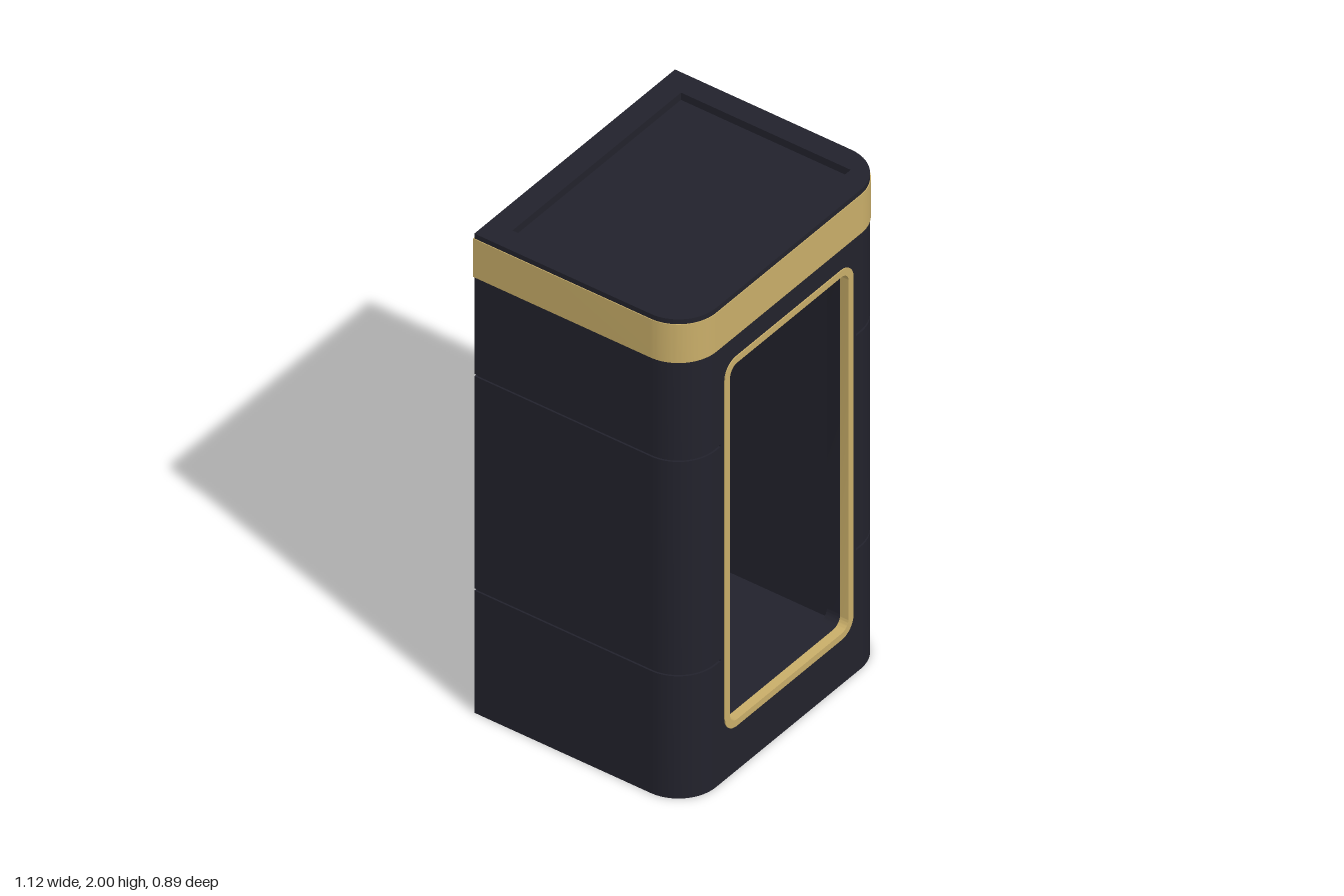
import * as THREE from 'three';
import { toCreasedNormals } from 'three/addons/utils/BufferGeometryUtils.js';

const W = 0.555, D = 0.441, R = 0.155;   // half width, half depth, front corner radius
const IW = 0.466, ID = 0.35;             // cavity half width, half depth
const PANEL = 0.375;                     // half width of the front panel

const dark = new THREE.MeshStandardMaterial({ color: 0x22222c });
dark.name = 'charcoal';
const gold = new THREE.MeshStandardMaterial({ color: 0xc9ae69 });
gold.name = 'gold';

function addMesh(group, name, geometry, material) {
  const mesh = new THREE.Mesh(geometry, material);
  mesh.name = name;
  group.add(mesh);
  return mesh;
}

// Extrude a plan (shape y = -z) upwards between two heights
function extrudePlan(shape, y0, y1) {
  const g = new THREE.ExtrudeGeometry(shape, { depth: y1 - y0, bevelEnabled: false, curveSegments: 16 });
  g.rotateX(-Math.PI / 2).translate(0, y0, 0);
  return toCreasedNormals(g, 0.5);
}

// Plan outline: square at the back, rounded at the front, grown by o
function tracePlan(path, o) {
  const w = W + o, d = D + o, r = R + o;
  path.moveTo(-w, d);
  path.lineTo(-w, -d + r);
  path.absarc(-w + r, -d + r, r, Math.PI, Math.PI * 1.5, false);
  path.lineTo(w - r, -d);
  path.absarc(w - r, -d + r, r, Math.PI * 1.5, Math.PI * 2, false);
  path.lineTo(w, d);
  path.closePath();
  return path;
}

// C-shaped wall plan, open at the front panel
function wallPlan(o) {
  const w = W + o, d = D + o, r = R + o;
  const s = new THREE.Shape();
  s.moveTo(PANEL, -d);
  s.lineTo(w - r, -d);
  s.absarc(w - r, -d + r, r, -Math.PI / 2, 0, false);
  s.lineTo(w, d);
  s.lineTo(-w, d);
  s.lineTo(-w, -d + r);
  s.absarc(-w + r, -d + r, r, Math.PI, Math.PI * 1.5, false);
  s.lineTo(-PANEL, -d);
  s.lineTo(-PANEL, -ID);
  s.lineTo(-IW, -ID);
  s.lineTo(-IW, ID);
  s.lineTo(IW, ID);
  s.lineTo(IW, -ID);
  s.lineTo(PANEL, -ID);
  s.closePath();
  return s;
}

// Rounded rectangle in the front plane
function traceRounded(path, w, y0, y1, r) {
  path.moveTo(-w + r, y0);
  path.lineTo(w - r, y0);
  path.absarc(w - r, y0 + r, r, -Math.PI / 2, 0, false);
  path.lineTo(w, y1 - r);
  path.absarc(w - r, y1 - r, r, 0, Math.PI / 2, false);
  path.lineTo(-w + r, y1);
  path.absarc(-w + r, y1 - r, r, Math.PI / 2, Math.PI, false);
  path.lineTo(-w, y0 + r);
  path.absarc(-w + r, y0 + r, r, Math.PI, Math.PI * 1.5, false);
  return path;
}

function extrudeFront(shape, z0, z1) {
  const g = new THREE.ExtrudeGeometry(shape, { depth: z1 - z0, bevelEnabled: false, curveSegments: 10 });
  return toCreasedNormals(g.translate(0, 0, z0), 0.5);
}

export function createModel() {
  const model = new THREE.Group();
  model.name = 'cabinet';

  // Stacked wall sections separated by shallow grooves
  const walls = new THREE.Group();
  walls.name = 'walls';
  model.add(walls);
  const seams = [0.515, 1.41], half = 0.005;
  let bottom = 0;
  for (const y of [...seams, 2]) {
    const top = y === 2 ? 2 : y - half;
    addMesh(walls, 'wallSection', extrudePlan(wallPlan(0), bottom, top), dark);
    if (y !== 2) addMesh(walls, 'seamGroove', extrudePlan(wallPlan(-0.007), y - half, y + half), dark);
    bottom = y + half;
  }

  // Front panel with its rounded opening
  const panel = new THREE.Shape();
  panel.moveTo(-PANEL, 0);
  panel.lineTo(PANEL, 0);
  panel.lineTo(PANEL, 2);
  panel.lineTo(-PANEL, 2);
  panel.closePath();
  panel.holes.push(traceRounded(new THREE.Path(), 0.335, 0.21, 1.71, 0.045));
  addMesh(model, 'frontPanel', extrudeFront(panel, ID, D), dark);

  // Trim around the opening
  const trim = traceRounded(new THREE.Shape(), 0.355, 0.19, 1.732, 0.065);
  trim.holes.push(traceRounded(new THREE.Path(), 0.328, 0.217, 1.705, 0.04));
  addMesh(model, 'openingTrim', extrudeFront(trim, 0.41, 0.445), gold);

  // Floor and recessed lid
  const slab = (name, y0, y1) => {
    const g = new THREE.BoxGeometry(IW * 2, y1 - y0, ID * 2);
    addMesh(model, name, g, dark).position.y = (y0 + y1) / 2;
  };
  slab('floor', 0, 0.09);
  slab('lid', 1.89, 1.97);

  // Band around the top
  const band = tracePlan(new THREE.Shape(), 0.003);
  band.holes.push(tracePlan(new THREE.Path(), -0.006));
  addMesh(model, 'topBand', extrudePlan(band, 1.82, 1.98), gold);

  return model;
}
